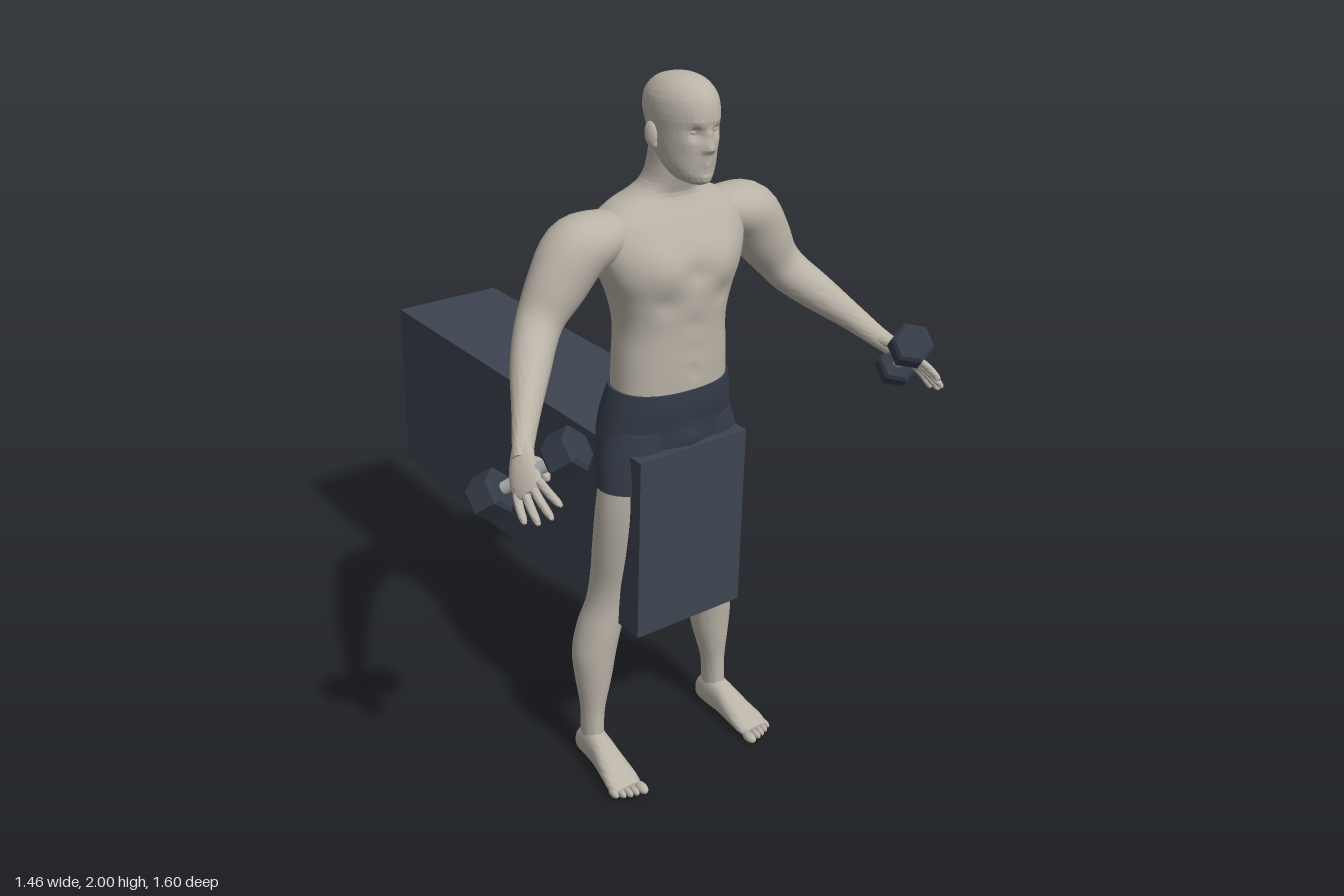
import * as THREE from 'three';
import { toCreasedNormals } from 'three/addons/utils/BufferGeometryUtils.js';

const V = (x, y, z) => new THREE.Vector3(x, y, z);
const X = V(1, 0, 0), Y = V(0, 1, 0), Z = V(0, 0, 1);

const material = (name, color) => {
  const m = new THREE.MeshStandardMaterial({ color });
  m.name = name;
  return m;
};

// Smooth curve through the rows, every column interpolated alike
function smoothRows(rows, sub) {
  const out = [], at = i => rows[Math.max(0, Math.min(rows.length - 1, i))];
  for (let i = 0; i < rows.length - 1; i++)
    for (let k = 0; k < sub; k++) {
      const t = k / sub;
      out.push(rows[i].map((p1, c) => {
        const p0 = at(i - 1)[c], p2 = at(i + 1)[c], p3 = at(i + 2)[c];
        return p1 + 0.5 * t * (p2 - p0 + t * (2 * p0 - 5 * p1 + 4 * p2 - p3 + t * (3 * (p1 - p2) + p3 - p0)));
      }));
    }
  out.push(rows[rows.length - 1]);
  return out;
}

// Skin over rows of [x, y, z, half width along ref, half width across it].
// With an axis all sections stay square to it; otherwise they follow the path.
// Bumps are [x, y, z, radius, push along z], mirrored when x is not 0.
function loft(rows, { ref = X, axis = null, n = 24, e = 2, sub = 4, bumps = [] } = {}) {
  const r = smoothRows(rows, sub), pos = [], idx = [];
  const c = r.map(q => V(q[0], q[1], q[2]));
  const last = r.length - 1;
  const sp = a => Math.sign(a) * Math.abs(a) ** (2 / e);
  r.forEach((q, i) => {
    const t = axis ? axis.clone() : c[Math.min(last, i + 1)].clone().sub(c[Math.max(0, i - 1)]).normalize();
    if (axis && c[last].clone().sub(c[0]).dot(axis) < 0) t.negate();
    const u = ref.clone().addScaledVector(t, -ref.dot(t)).normalize();
    const v = t.clone().cross(u);
    for (let j = 0; j < n; j++) {
      const a = j / n * Math.PI * 2;
      const p = c[i].clone().addScaledVector(u, sp(Math.cos(a)) * q[3]).addScaledVector(v, sp(Math.sin(a)) * q[4]);
      let dz = 0;
      for (const [bx, by, bz, br, push] of bumps)
        dz += push * Math.exp(-((Math.abs(p.x) - bx) ** 2 + (p.y - by) ** 2 + (p.z - bz) ** 2) / (br * br));
      pos.push(p.x, p.y, p.z + dz);
      if (i < last) {
        const k = (j + 1) % n, A = i * n + j, B = i * n + k;
        idx.push(A, B, A + n, B, B + n, A + n);
      }
    }
  });
  // End caps
  const s = pos.length / 3;
  pos.push(...c[0].toArray(), ...c[last].toArray());
  for (let j = 0; j < n; j++) {
    const k = (j + 1) % n;
    idx.push(s, k, j, s + 1, last * n + j, last * n + k);
  }
  const g = new THREE.BufferGeometry();
  g.setAttribute('position', new THREE.Float32BufferAttribute(pos, 3));
  g.setIndex(idx);
  return toCreasedNormals(g, 1.0);
}

export function createModel() {
  const model = new THREE.Group();
  const skin = material('skin', 0xb9b2a7);
  const cloth = material('shorts fabric', 0x353c49);
  const pad = material('bench pad', 0x3d4450);
  const iron = material('dumbbell iron', 0x353c49);
  const steel = material('handle steel', 0xb4b6b8);
  const add = (name, geo, mat, parent = model) => {
    const m = new THREE.Mesh(geo, mat);
    m.name = name;
    parent.add(m);
    return m;
  };
  const ball = (name, p, size, parent = model) => {
    const m = add(name, new THREE.SphereGeometry(1, 16, 12), skin, parent);
    m.position.copy(p);
    m.scale.set(...size);
    return m;
  };

  // Bench block
  add('bench', new THREE.BoxGeometry(0.357, 0.54, 1.32), pad).position.set(0, 0.748, -0.142);

  // Torso and neck
  add('torso', loft([
    [0, 1.15, .396, .170, .106], [0, 1.25, .395, .166, .110], [0, 1.35, .392, .160, .114],
    [0, 1.43, .390, .177, .122], [0, 1.50, .387, .207, .126], [0, 1.57, .377, .228, .118],
    [0, 1.63, .366, .220, .100], [0, 1.67, .360, .170, .082], [0, 1.695, .362, .110, .070],
    [0, 1.72, .373, .077, .066], [0, 1.76, .387, .064, .064], [0, 1.82, .395, .060, .062],
  ], {
    axis: Y, n: 64, e: 2.3, sub: 6, bumps: [
      [.09, 1.53, .49, .06, .014], [0, 1.50, .51, .03, -.012], [.09, 1.43, .50, .03, -.008], // chest
      [0, 1.36, .50, .025, -.005], [0, 1.29, .50, .025, -.005], [0, 1.23, .50, .011, -.010], // abdomen
      [0, 1.24, .28, .04, .010], [0, 1.34, .28, .04, .014], [0, 1.44, .27, .04, .014],
      [0, 1.54, .26, .04, .014], [.11, 1.56, .27, .06, -.010], // spine and shoulder blades
    ],
  }), skin);

  // Head with the face shaped from it
  const head = new THREE.Group();
  head.name = 'head';
  model.add(head);
  add('skull', loft([
    [0, 1.738, .485, .022, .028], [0, 1.75, .472, .044, .054], [0, 1.78, .453, .063, .076],
    [0, 1.82, .436, .073, .095], [0, 1.87, .425, .079, .108], [0, 1.91, .420, .083, .116],
    [0, 1.95, .418, .078, .108], [0, 1.98, .418, .058, .080], [0, 1.995, .420, .032, .042],
    [0, 2.0, .420, .008, .010],
  ], {
    axis: Y, n: 80, sub: 8, bumps: [
      [0, 1.834, .535, .013, .022], [0, 1.852, .535, .011, .010], [0, 1.868, .535, .009, .008], // nose
      [.013, 1.829, .533, .009, .008], [.030, 1.872, .522, .016, -.014], [.028, 1.893, .525, .016, .005], // eyes, brow
      [0, 1.805, .53, .014, .007], [0, 1.789, .525, .012, .007], [0, 1.797, .53, .005, -.006], // lips
      [0, 1.755, .525, .018, .008], [.05, 1.845, .50, .02, .004], // chin and cheeks
    ],
  }), skin, head);

  // Pelvis of the shorts
  add('shorts', loft([
    [0, 1.18, .396, .176, .113], [0, 1.13, .388, .188, .120], [0, 1.07, .380, .199, .119],
    [0, 1.01, .384, .203, .110], [0, .95, .395, .150, .080],
  ], {
    axis: Y, n: 64, e: 2.3, sub: 6,
    bumps: [[0, 1.10, .26, .025, .02], [0, 1.05, .26, .025, .03], [0, 1.0, .26, .025, .03],
      [.085, 1.06, .27, .06, -.010], [0, 1.03, .50, .04, .012]],
  }), cloth);

  for (const s of [1, -1]) {
    const side = s > 0 ? 'left' : 'right';
    const mirror = rows => rows.map(([x, ...rest]) => [x * s, ...rest]);

    // Eye and ear
    ball(side + 'Eye', V(s * .030, 1.872, .506), [.012, .008, .009], head);
    const ear = ball(side + 'Ear', V(s * .086, 1.855, .412), [.009, .032, .018], head);
    ear.rotation.set(-.2, s * -.35, 0);
    ball(side + 'EarLobe', V(s * .082, 1.832, .420), [.007, .012, .010], head);

    // Leg
    const leg = new THREE.Group();
    leg.name = side + 'Leg';
    model.add(leg);
    add('shortsLeg', loft(mirror([
      [.105, 1.07, .390, .090, .100], [.116, .99, .400, .101, .096], [.127, .905, .410, .101, .084],
    ]), { axis: Y, n: 32 }), cloth, leg);
    add('limb', loft(mirror([
      [.115, 1.02, .405, .092, .085], [.125, .92, .410, .097, .079], [.135, .82, .404, .094, .079],
      [.150, .70, .388, .076, .074], [.163, .60, .372, .057, .068], [.175, .52, .365, .054, .065],
      [.195, .44, .357, .060, .069], [.210, .36, .354, .062, .066], [.215, .28, .357, .052, .058],
      [.222, .18, .365, .034, .042], [.225, .11, .368, .030, .042], [.225, .05, .370, .030, .042],
    ]), { axis: Y, n: 32 }), skin, leg);

    // Foot and toes
    add('foot', loft(mirror([
      [.225, .036, .311, .014, .018], [.225, .044, .325, .029, .040], [.225, .055, .37, .034, .055],
      [.228, .051, .42, .036, .051], [.232, .036, .48, .044, .036], [.236, .024, .53, .050, .024],
      [.237, .015, .565, .046, .014],
    ]), { axis: Z, n: 28, e: 2.4 }), skin, leg);
    for (let i = 0; i < 5; i++)
      ball('toe', V(s * (i ? .206 + i * .0185 : .200), .014, .578 - i * i * .0016),
        i ? [.0095, .012, .022] : [.015, .015, .026], leg);

    // Arm
    const arm = new THREE.Group();
    arm.name = side + 'Arm';
    model.add(arm);
    add('limb', loft(mirror([
      [.130, 1.605, .365, .060, .050], [.210, 1.600, .364, .085, .070], [.278, 1.575, .361, .088, .085],
      [.335, 1.500, .365, .074, .080], [.383, 1.432, .370, .062, .064], [.420, 1.385, .395, .055, .059],
      [.470, 1.335, .450, .050, .052], [.530, 1.275, .525, .036, .038], [.580, 1.222, .588, .026, .029],
      [.605, 1.198, .622, .024, .026],
    ]), { ref: Z, n: 32 }), skin, arm);

    // Hand gripping across the dumbbell axis
    const a = V(s * .555, 1.25, .735), b = V(s * .67, 1.112, .587);
    const grip = b.clone().sub(a).normalize();
    add('palm', loft(mirror([
      [.580, 1.222, .588, .027, .024], [.605, 1.199, .622, .036, .020], [.624, 1.180, .660, .044, .018],
      [.634, 1.166, .694, .042, .014], [.637, 1.160, .706, .034, .009],
    ]), { ref: grip, n: 24 }), skin, arm);
    const finger = (name, points, r) => add(name, loft(
      points.map((p, i) => [p.x, p.y, p.z, r * [1, 1, .85, .4][i], r * [1, 1, .85, .4][i]]),
      { ref: grip, n: 12 }), skin, arm);
    [.076, .09, .084, .066].forEach((len, i) => {
      const k = (i - 1.5) * .022;
      const base = V(s * .632, 1.170, .685).addScaledVector(grip, k);
      const dir = V(s * .20, -.42, .85).addScaledVector(grip, (i - 1.5) * .16).normalize();
      const curl = V(s * -.014, -.006, 0);
      finger('finger', [0, .5, .95, 1.12].map(t =>
        base.clone().addScaledVector(dir, len * t + .01).addScaledVector(curl, t * t * .7)), .0105);
    });
    finger('thumb', [V(s * .598, 1.205, .635), V(s * .585, 1.204, .668), V(s * .588, 1.186, .698),
      V(s * .592, 1.178, .708)], .013);

    // Hexagonal dumbbell
    const bell = new THREE.Group();
    bell.name = side + 'Dumbbell';
    bell.position.copy(a).add(b).multiplyScalar(.5);
    bell.quaternion.setFromUnitVectors(Y, grip);
    model.add(bell);
    add('handle', new THREE.CylinderGeometry(.016, .016, .2, 20), steel, bell);
    for (const e of [1, -1]) {
      const h = add('weight', toCreasedNormals(new THREE.CylinderGeometry(.058, .058, .062, 6), .3), iron, bell);
      h.position.y = e * .117;
      // Chamfered faces
      for (const f of [1, -1]) {
        const c = add('weightBevel', toCreasedNormals(
          new THREE.CylinderGeometry(f > 0 ? .048 : .058, f > 0 ? .058 : .048, .009, 6), .3), iron, bell);
        c.position.y = e * .117 + f * .0355;
      }
    }
  }
  return model;
}
